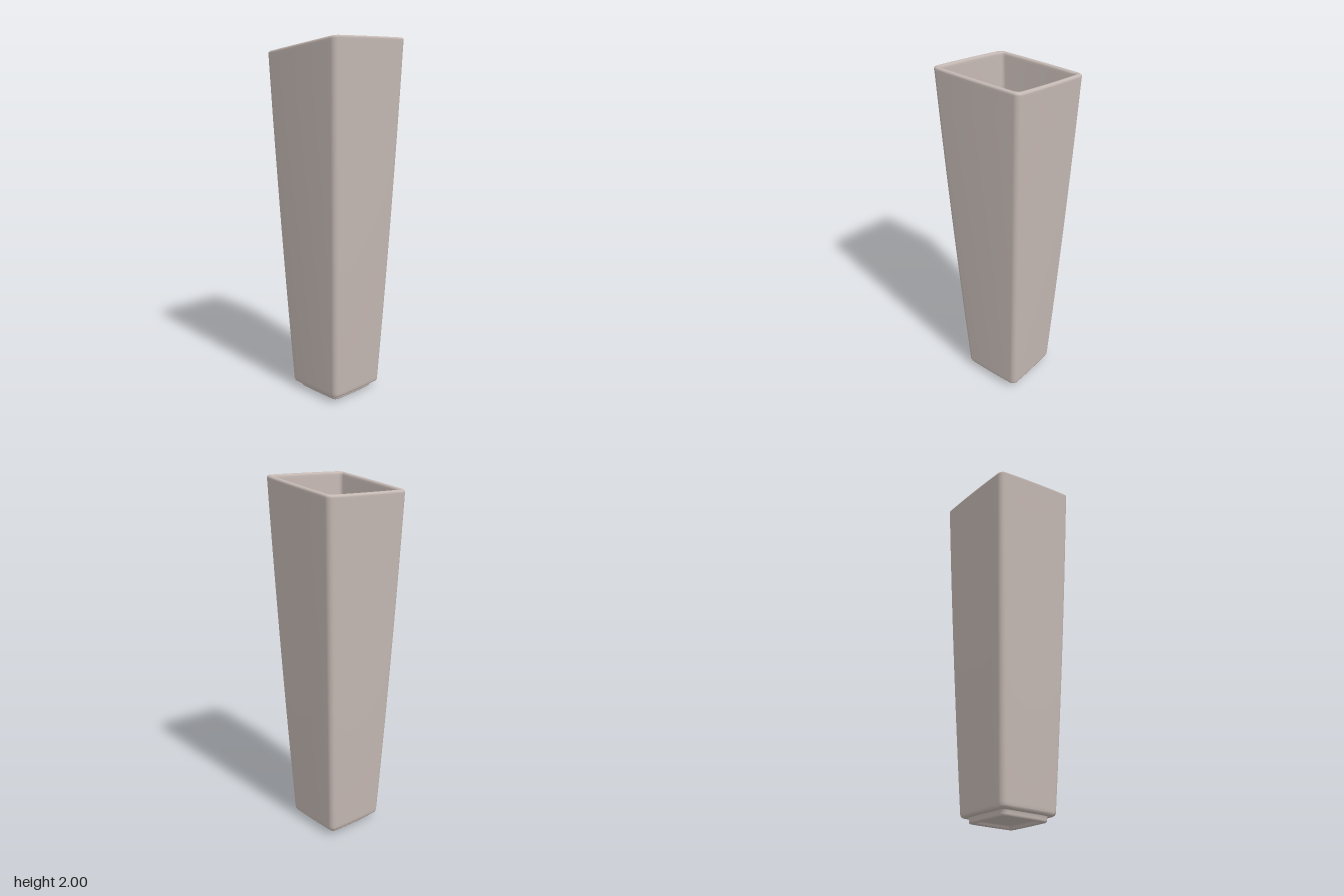
import * as THREE from 'three';

const TOP = 2, SLOPE = 0.14, HALF_TOP = 0.268;

// Rounded square ring with slightly bowed sides, counterclockwise from above
function ring(h, r) {
  const pts = [], arc = 8, side = 8;
  for (let q = 0; q < 4; q++) {
    const turn = q * Math.PI / 2;
    const local = [];
    for (let i = 0; i < side; i++) local.push([h, (h - r) * (-1 + 2 * i / side)]);
    for (let i = 0; i < arc; i++) {
      const a = i / arc * Math.PI / 2;
      local.push([h - r + r * Math.cos(a), h - r + r * Math.sin(a)]);
    }
    for (const [u, v] of local) {
      const k = h > 0 ? 1 / h : 0;
      const bu = u * (1 - 0.02 * (v * k) ** 2), bv = v * (1 - 0.02 * (u * k) ** 2);
      pts.push([bu * Math.cos(turn) - bv * Math.sin(turn), -(bu * Math.sin(turn) + bv * Math.cos(turn))]);
    }
  }
  return pts;
}

// Loft through [halfWidth, y, cornerRadius] sections; the height shears into a slanted top
function loft(sections) {
  const pos = [], index = [];
  let n = 0;
  for (const [h, y, r] of sections) {
    const pts = ring(h, Math.min(r, h));
    n = pts.length;
    for (const [x, z] of pts) {
      const t = Math.max(0, (y - 0.1) / (TOP - 0.1));
      pos.push(x, y - SLOPE * (HALF_TOP - x) * t, z);
    }
  }
  for (let i = 0; i < sections.length - 1; i++) {
    for (let j = 0; j < n; j++) {
      const a = i * n + j, b = i * n + (j + 1) % n;
      index.push(a, b, a + n, b, b + n, a + n);
    }
  }
  const g = new THREE.BufferGeometry();
  g.setAttribute('position', new THREE.Float32BufferAttribute(pos, 3));
  g.setIndex(index);
  g.computeVertexNormals();
  return g;
}

export function createModel() {
  const group = new THREE.Group();
  group.name = 'squareVase';
  const ceramic = new THREE.MeshStandardMaterial({ color: 0xc4b8b3 });
  ceramic.name = 'warm grey ceramic';
  const add = (name, sections) => {
    const mesh = new THREE.Mesh(loft(sections), ceramic);
    mesh.name = name;
    group.add(mesh);
  };

  // Half width of the outer wall, swelling slightly between base and rim
  const outer = y => {
    const t = (y - 0.04) / (TOP - 0.04);
    return 0.184 + 0.086 * t + 0.018 * t * (1 - t);
  };
  const wall = 0.027;

  // Body: underside, outer wall, rounded rim, inner wall and floor
  const body = [[0.135, 0.03, 0.02], [0.165, 0.03, 0.025], [0.174, 0.031, 0.028], [0.181, 0.036, 0.03], [0.184, 0.045, 0.03]];
  for (let i = 0; i <= 16; i++) {
    const y = 0.06 + (1.975 - 0.06) * i / 16;
    body.push([outer(y), y, 0.03]);
  }
  const rimY = TOP - wall / 2, rimH = outer(TOP) - wall / 2;
  for (let i = 0; i <= 8; i++) {
    const a = i / 8 * Math.PI;
    body.push([rimH + wall / 2 * Math.cos(a), rimY + wall / 2 * Math.sin(a), 0.03 - 0.008 * i / 8]);
  }
  for (let i = 0; i <= 16; i++) {
    const y = 1.975 - (1.975 - 0.1) * i / 16;
    body.push([outer(y) - wall, y, 0.022]);
  }
  body.push([0.159, 0.085, 0.02], [0.156, 0.075, 0.02], [0.149, 0.07, 0.02], [0.135, 0.069, 0.02], [0, 0.069, 0]);
  add('body', body);

  // Foot: recessed underside, standing ring and short outer wall
  add('foot', [
    [0, 0.018, 0], [0.105, 0.018, 0.012], [0.114, 0.016, 0.014], [0.119, 0.01, 0.015],
    [0.122, 0.004, 0.016], [0.127, 0, 0.017], [0.14, 0, 0.02], [0.145, 0.001, 0.022],
    [0.149, 0.005, 0.024], [0.15, 0.012, 0.025], [0.151, 0.024, 0.025], [0.154, 0.032, 0.025]
  ]);
  return group;
}
